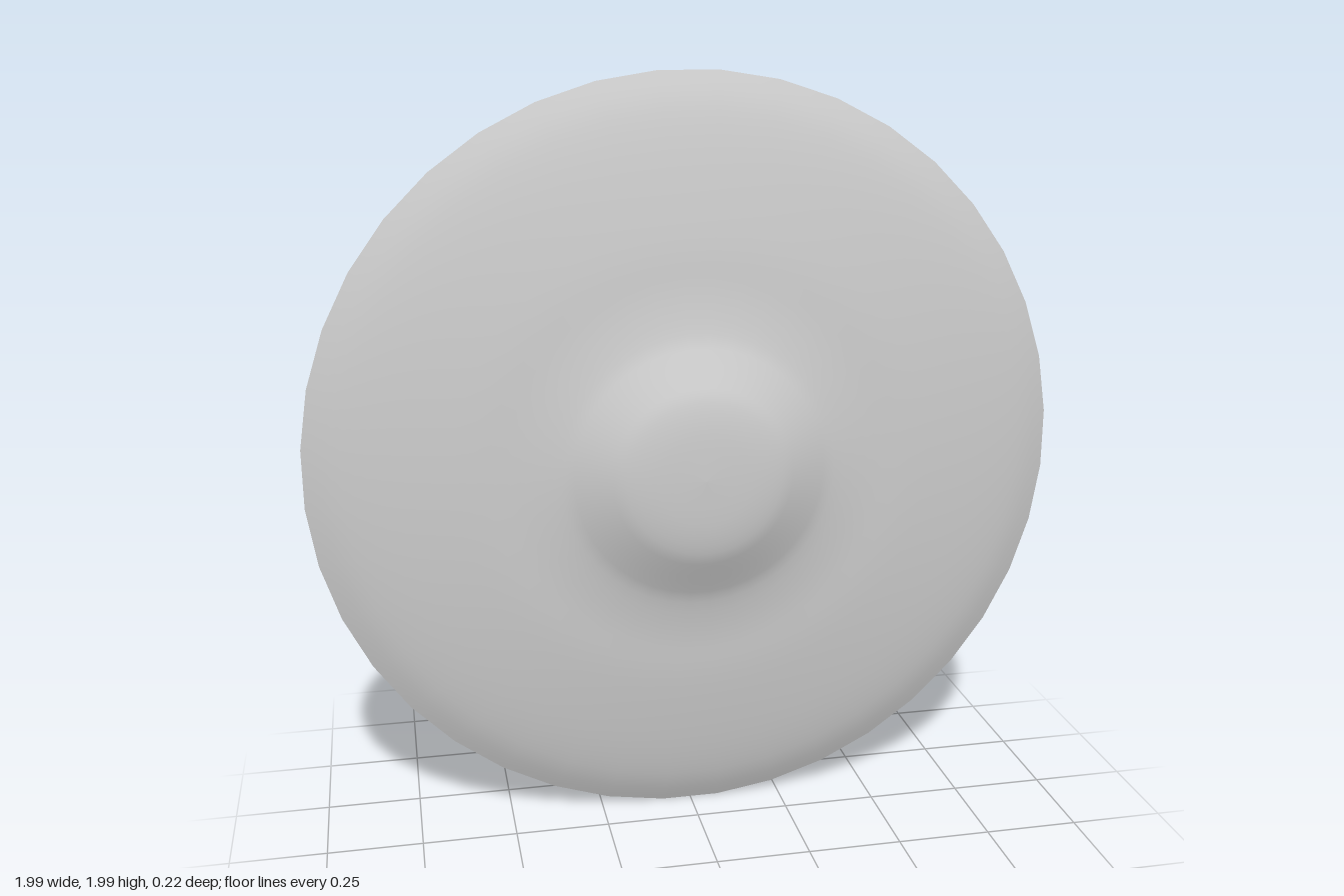
import * as THREE from 'three';

const SIDES = 40;

export function createModel() {
  const group = new THREE.Group();
  group.name = 'domedDisc';
  const material = new THREE.MeshStandardMaterial({ color: 0xcccccc });

  // Turn a radius/depth profile around the z axis
  const addTurned = (name, points) => {
    const geometry = new THREE.LatheGeometry(points, SIDES, Math.PI / SIDES);
    geometry.rotateX(Math.PI / 2);
    const mesh = new THREE.Mesh(geometry, material);
    mesh.name = name;
    mesh.position.y = 1;
    group.add(mesh);
  };

  // Curved face: shallow dish rising into a rounded central boss
  const profile = [
    [1, -0.11], [0.93, -0.078], [0.84, -0.053], [0.72, -0.03], [0.58, -0.009],
    [0.46, 0.002], [0.36, 0.02], [0.31, 0.04], [0.25, 0.069], [0.2, 0.09],
    [0.12, 0.103], [0, 0.108],
  ].map(([r, z]) => new THREE.Vector2(r, z));
  const face = new THREE.SplineCurve(profile).getPoints(33);
  face[face.length - 1].x = 0;
  addTurned('curvedFace', face);

  // Flat back
  addTurned('flatBack', [new THREE.Vector2(0, -0.11), new THREE.Vector2(1, -0.11)]);

  return group;
}
